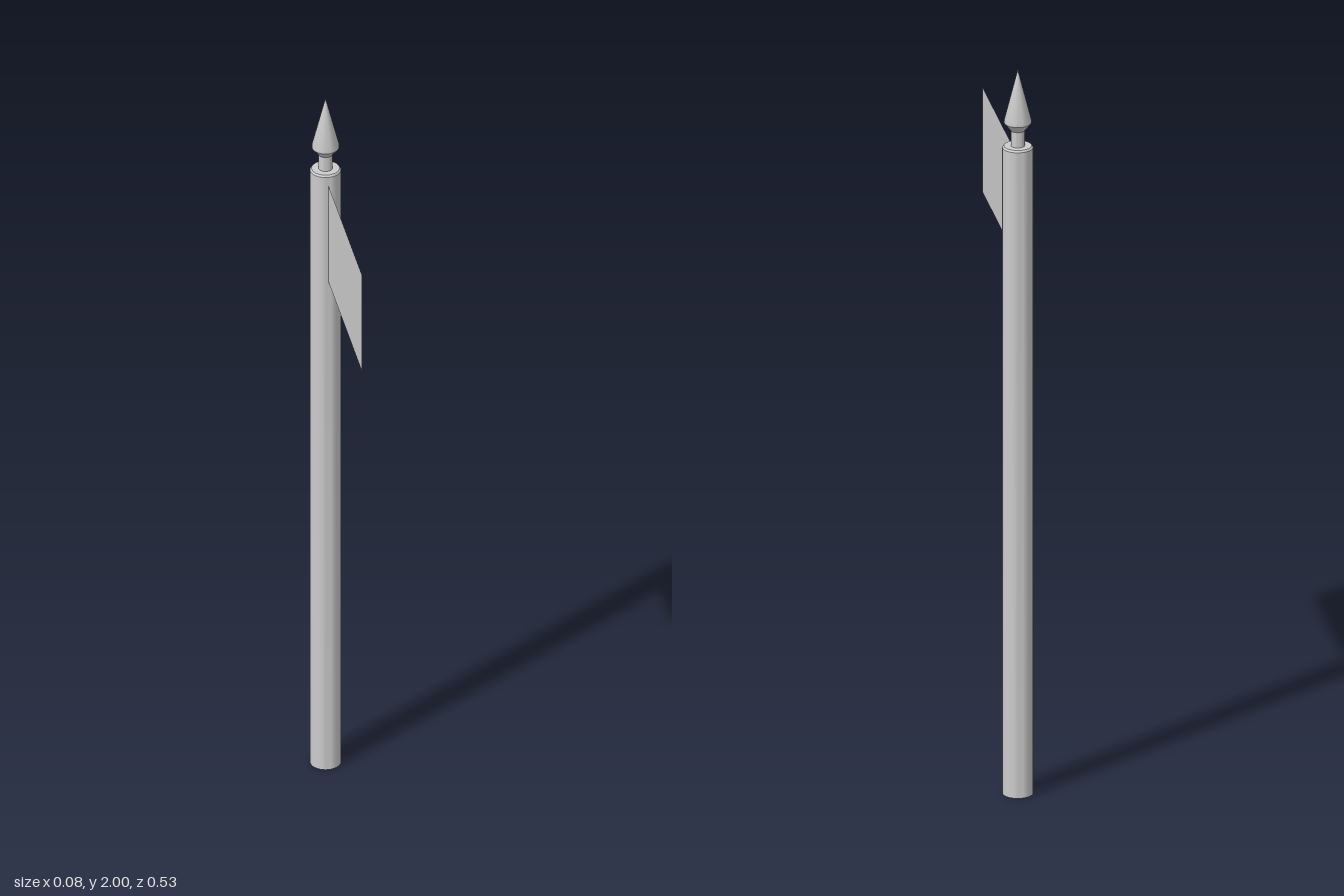
import * as THREE from 'three';
import { toCreasedNormals } from 'three/addons/utils/BufferGeometryUtils.js';

const POLE_Z = -0.225;

// Turned part from [radius, height] pairs, bottom to top
function turned(name, profile, material) {
  const points = profile.map(([r, y]) => new THREE.Vector2(r, y));
  const geometry = toCreasedNormals(new THREE.LatheGeometry(points, 32), Math.PI / 7);
  const mesh = new THREE.Mesh(geometry, material);
  mesh.name = name;
  mesh.position.z = POLE_Z;
  return mesh;
}

export function createModel() {
  const group = new THREE.Group();
  group.name = 'flagpole';
  const grey = new THREE.MeshStandardMaterial({ color: 0xcccccc });
  const cloth = new THREE.MeshStandardMaterial({ color: 0xcccccc, side: THREE.DoubleSide });

  // Round pole with a slightly bevelled top edge
  group.add(turned('pole', [[0, 0], [0.04, 0], [0.04, 1.785], [0.036, 1.79], [0, 1.79]], grey));

  // Spear-shaped finial on a short neck
  group.add(turned('finial', [[0.018, 1.785], [0.018, 1.832], [0.035, 1.853], [0.035, 1.861], [0, 2]], grey));

  // Flat flag reaching forward from the pole
  const flag = new THREE.Mesh(new THREE.PlaneGeometry(0.45, 0.29), cloth);
  flag.name = 'flag';
  flag.rotation.y = Math.PI / 2;
  flag.position.set(0, 1.615, 0.04);
  group.add(flag);

  return group;
}
